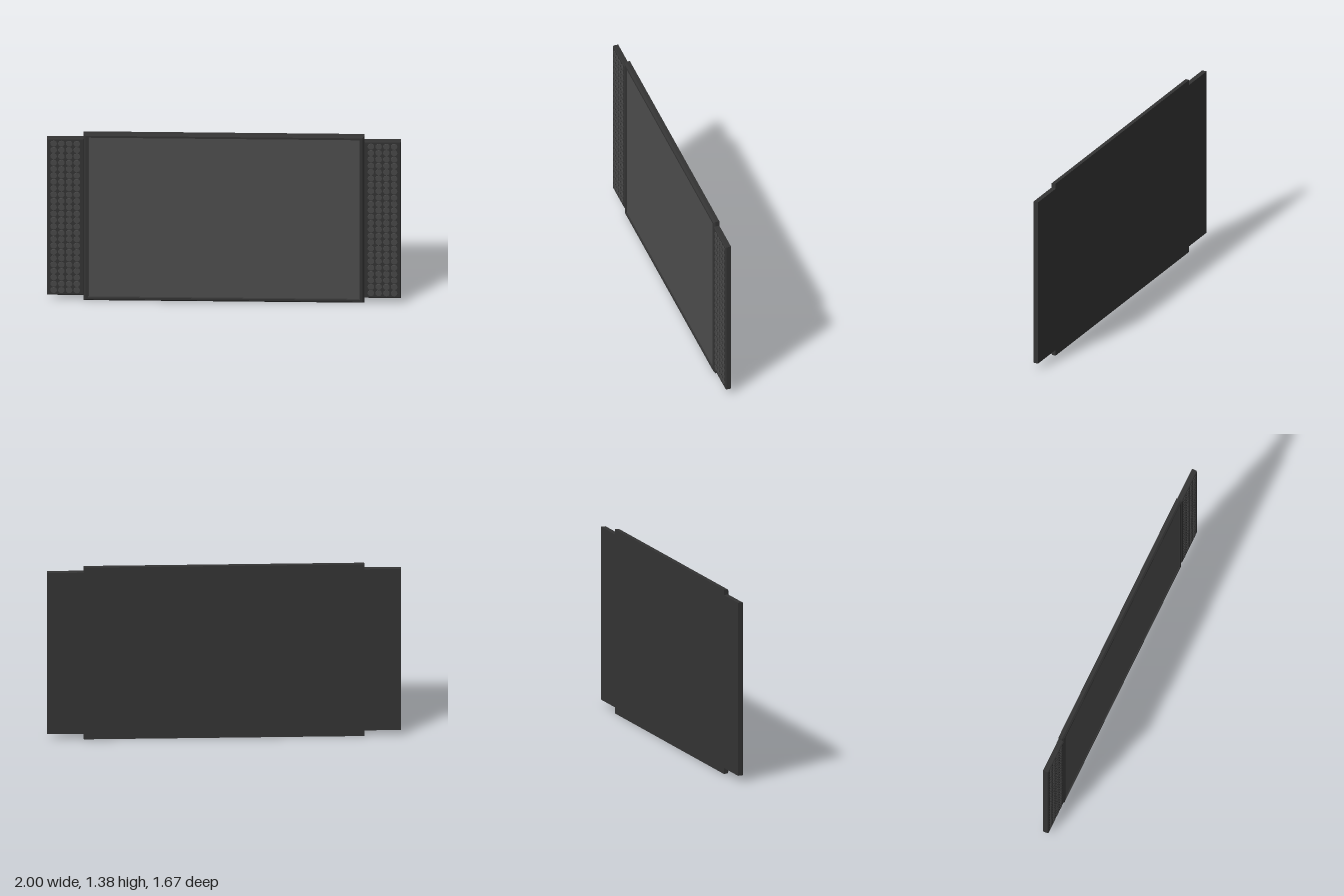
import * as THREE from 'three';

const dark = new THREE.MeshStandardMaterial({ color: 0x343434 });
const glass = new THREE.MeshStandardMaterial({ color: 0x4e4e4e });
const mesh = new THREE.MeshStandardMaterial({ color: 0x484848 });

const HEIGHT = 1.375, HALF_DEPTH = 0.021, HALF_WIDTH = 1.018;

// Slab made of stepped rectangular rings [inset, z], closed at the back and at the last ring
function steppedSlab(halfW, halfH, rings) {
  const pos = [];
  const corners = ([inset, z]) => {
    const w = halfW - inset, h = halfH - inset;
    return [[-w, -h, z], [w, -h, z], [w, h, z], [-w, h, z]];
  };
  const quad = (a, b, c, d) => pos.push(...a, ...b, ...c, ...a, ...c, ...d);
  const loops = rings.map(corners);
  for (let i = 0; i < loops.length - 1; i++) {
    for (let j = 0; j < 4; j++) {
      const k = (j + 1) % 4;
      quad(loops[i][j], loops[i][k], loops[i + 1][k], loops[i + 1][j]);
    }
  }
  const back = loops[0], front = loops[loops.length - 1];
  quad(back[3], back[2], back[1], back[0]);
  quad(...front);
  const geo = new THREE.BufferGeometry();
  geo.setAttribute('position', new THREE.Float32BufferAttribute(pos, 3));
  geo.computeVertexNormals();
  return geo;
}

function part(name, geo, mat, x = 0, y = 0, z = 0) {
  const m = new THREE.Mesh(geo, mat);
  m.name = name;
  m.position.set(x, y, z);
  return m;
}

// Side speaker with a grid of round grille cells
function speaker(name, side) {
  const g = new THREE.Group();
  g.name = name;
  const width = 0.266;
  g.position.set(side * (HALF_WIDTH + width / 2), 0.69, 0);
  g.add(part('speakerBody', steppedSlab(width / 2, 0.645, [
    [0, -HALF_DEPTH], [0, HALF_DEPTH - 0.006], [0.006, HALF_DEPTH],
  ]), dark));
  const cols = 4, rows = 24, stepX = 0.056, stepY = 0.0525;
  const cell = new THREE.CylinderGeometry(0.023, 0.025, 0.004, 18);
  cell.rotateX(Math.PI / 2);
  for (let c = 0; c < cols; c++) {
    for (let r = 0; r < rows; r++) {
      g.add(part('grilleCell', cell, mesh,
        (c - (cols - 1) / 2) * stepX, (r - (rows - 1) / 2) * stepY, HALF_DEPTH + 0.001));
    }
  }
  return g;
}

export function createModel() {
  const model = new THREE.Group();
  model.name = 'flatScreen';

  const panel = new THREE.Group();
  panel.name = 'panel';
  panel.rotation.y = THREE.MathUtils.degToRad(39.8);
  model.add(panel);

  // Casing with a chamfered bezel and a recess for the screen
  panel.add(part('frame', steppedSlab(HALF_WIDTH, HEIGHT / 2, [
    [0, -HALF_DEPTH], [0, 0.008], [0.014, HALF_DEPTH], [0.03, HALF_DEPTH], [0.034, 0.01],
  ]), dark, 0, HEIGHT / 2, 0));

  // Screen set into the recess
  panel.add(part('screen',
    new THREE.BoxGeometry(2 * (HALF_WIDTH - 0.034), HEIGHT - 0.068, 0.006), glass, 0, HEIGHT / 2, 0.01));

  panel.add(speaker('leftSpeaker', 1), speaker('rightSpeaker', -1));
  return model;
}
